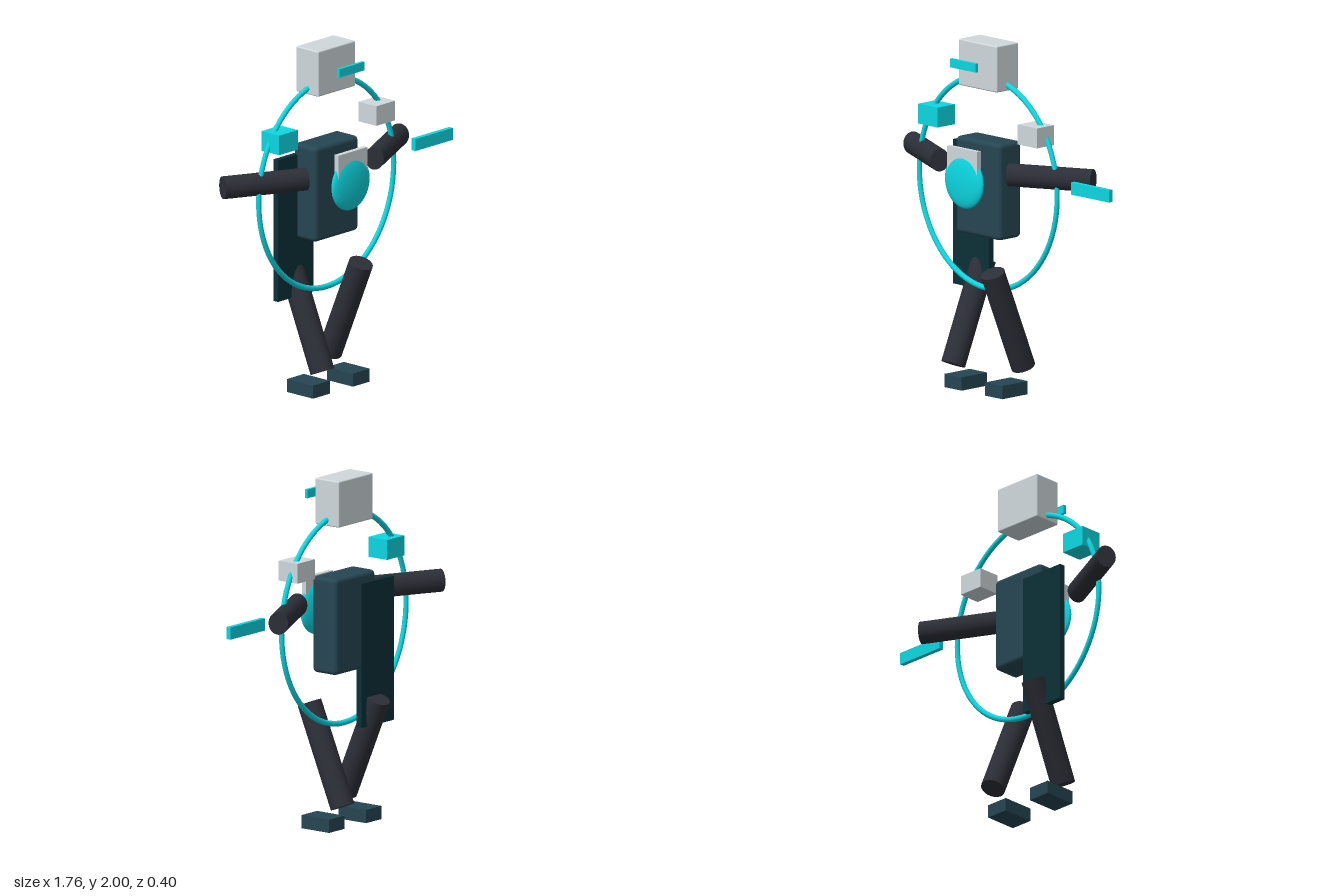
import * as THREE from 'three';
import { RoundedBoxGeometry } from 'three/addons/geometries/RoundedBoxGeometry.js';

const MID = -0.127; // x of the body's own symmetry plane
const mat = (color) => new THREE.MeshStandardMaterial({ color });

export function createModel() {
  const model = new THREE.Group();
  const pale = mat(0xcfd8dc);
  const cyan = mat(0x0cd8e2);
  const slate = mat(0x264653);
  const deep = mat(0x0b3038);
  const charcoal = mat(0x2d2f38);

  const add = (name, geometry, material, x, y, z) => {
    const mesh = new THREE.Mesh(geometry, material);
    mesh.name = name;
    mesh.position.set(x, y, z);
    model.add(mesh);
    return mesh;
  };
  const box = (name, [w, h, d], material, x, y, z, round = 0) =>
    add(name, round ? new RoundedBoxGeometry(w, h, d, 3, round) : new THREE.BoxGeometry(w, h, d),
      material, x, y, z);

  // Head, visor and torso
  box('head', [0.308, 0.265, 0.17], pale, MID, 1.8675, -0.018, 0.008);
  box('visor', [0.206, 0.05, 0.018], cyan, MID, 1.885, 0.172);
  box('torso', [0.36, 0.552, 0.172], slate, MID, 1.166, -0.017, 0.025);

  // Chest emblem: flattened dome crossed by a thin plate
  add('chestDisc', new THREE.SphereGeometry(1, 40, 24), cyan, MID, 1.222, 0.17)
    .scale.set(0.153, 0.156, 0.034);
  box('chestPlate', [0.24, 0.24, 0.03], pale, MID, 1.29, 0.173);

  // Side cape
  box('cape', [0.29, 0.826, 0.035], deep, -0.32, 0.966, -0.087);

  // Tall ring around the body
  add('ring', new THREE.TorusGeometry(0.555, 0.015, 12, 80), cyan, MID, 1.187, -0.016)
    .scale.y = 1.09;

  // Blade beside the left hand
  box('blade', [0.308, 0.07, 0.028], cyan, 0.726, 1.263, 0.002);

  for (const [side, s] of [['left', 1], ['right', -1]]) {
    // Shoulder blocks
    box(side + 'ShoulderBlock', [0.155, 0.114, 0.135], s > 0 ? pale : cyan,
      MID + s * 0.4, 1.523, 0);

    // Arms sweep backwards towards the hands; slightly taller than deep
    const arm = new THREE.CylinderGeometry(1, 1, 0.5, 32);
    arm.rotateZ(Math.PI / 2);
    arm.scale(1, 0.065, 0.056);
    add(side + 'Arm', arm, charcoal, MID + s * 0.503, 1.29, -0.02).rotation.y = s * 0.461;

    // Legs cross in stride
    add(side + 'Leg', new THREE.CylinderGeometry(0.069, 0.069, 0.614, 32), charcoal,
      MID + s * 0.159, 0.426, -0.016).rotation.x = s * 0.398;

    // Feet
    box(side + 'Foot', [0.138, 0.076, 0.198], slate, MID + s * 0.164, 0.038, 0.001);
  }
  return model;
}
